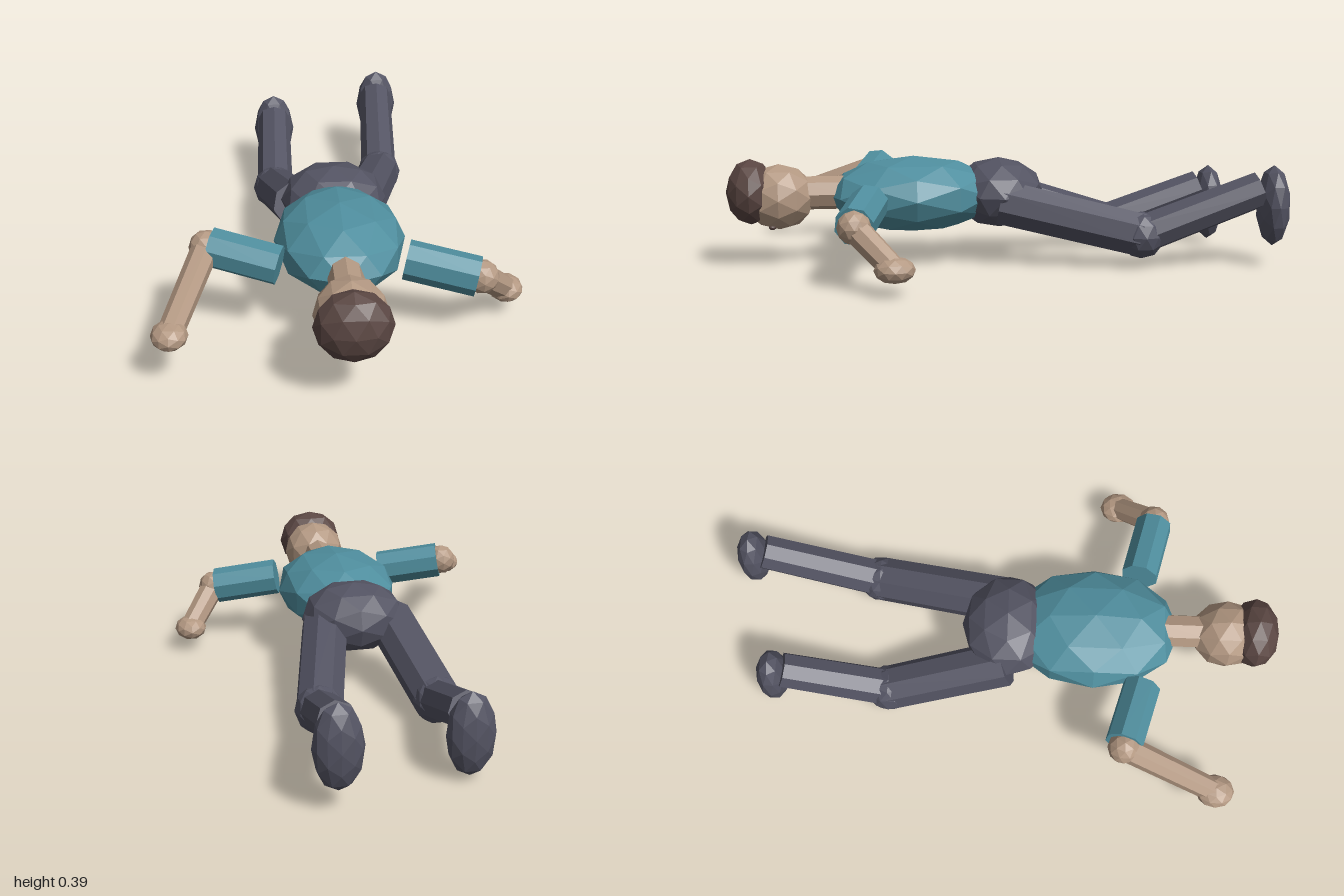
import * as THREE from 'three';

const mat = (name, color) => {
  const m = new THREE.MeshStandardMaterial({ color, flatShading: true });
  m.name = name;
  return m;
};

export function createModel() {
  const figure = new THREE.Group();
  figure.name = 'lyingFigure';
  const shirt = mat('teal shirt', 0x4f8e9e);
  const skin = mat('skin', 0xb39882);
  const trousers = mat('grey trousers', 0x535362);
  const hair = mat('brown hair', 0x5a4642);

  const add = (name, geo, material) => {
    const mesh = new THREE.Mesh(geo, material);
    mesh.name = name;
    figure.add(mesh);
    return mesh;
  };
  // faceted ellipsoid
  const blob = (name, material, pos, radii, tilt = 0) => {
    const geo = new THREE.IcosahedronGeometry(1, 1).rotateX(tilt).scale(...radii);
    add(name, geo, material).position.set(...pos);
  };
  // eight-sided limb between two points
  const limb = (name, material, from, to, rFrom, rTo = rFrom) => {
    const a = new THREE.Vector3(...from);
    const b = new THREE.Vector3(...to);
    const dir = b.clone().sub(a);
    const mesh = add(name, new THREE.CylinderGeometry(rTo, rFrom, dir.length(), 8), material);
    mesh.position.copy(a).add(b).multiplyScalar(0.5);
    mesh.quaternion.setFromUnitVectors(new THREE.Vector3(0, 1, 0), dir.normalize());
  };

  // body, lying face down with the head towards the front
  blob('torso', shirt, [0, 0.2575, 0.33], [0.225, 0.1375, 0.31], Math.PI / 2);
  blob('hips', trousers, [0, 0.257, 0.02], [0.19, 0.128, 0.165]);
  limb('neck', skin, [0, 0.267, 0.56], [0, 0.267, 0.74], 0.06);

  // head
  blob('head', skin, [0, 0.255, 0.81], [0.12, 0.118, 0.128], Math.PI / 2);
  blob('hair', hair, [0, 0.275, 0.91], [0.126, 0.118, 0.087], Math.PI / 2);
  for (const s of [-1, 1]) {
    blob('eye', hair, [s * 0.043, 0.152, 0.835], [0.013, 0.01, 0.013]);
  }

  // arms
  const arms = [
    { side: 'right', shoulder: [-0.212, 0.26, 0.505], elbow: [-0.437, 0.302, 0.44], hand: [-0.563, 0.177, 0.772] },
    { side: 'left', shoulder: [0.21, 0.26, 0.495], elbow: [0.442, 0.219, 0.553], hand: [0.563, 0.098, 0.428] },
  ];
  for (const { side, shoulder, elbow, hand } of arms) {
    limb(side + 'Sleeve', shirt, shoulder, elbow, 0.068);
    const joint = [elbow[0] + Math.sign(elbow[0]) * 0.013, elbow[1], elbow[2]];
    blob(side + 'Elbow', skin, joint, [0.058, 0.058, 0.058]);
    limb(side + 'Forearm', skin, joint, hand, 0.047, 0.042);
    blob(side + 'Hand', skin, hand, [0.06, 0.044, 0.068]);
  }

  // legs, toes pointing down
  const legs = [
    { side: 'right', hip: [-0.135, 0.235, 0.02], knee: [-0.202, 0.095, -0.41], ankle: [-0.193, 0.23, -0.79], foot: [-0.193, 0.17, -0.83] },
    { side: 'left', hip: [0.105, 0.235, 0.02], knee: [0.218, 0.125, -0.465], ankle: [0.243, 0.285, -0.89], foot: [0.25, 0.226, -0.937] },
  ];
  for (const { side, hip, knee, ankle, foot } of legs) {
    limb(side + 'Thigh', trousers, hip, knee, 0.085, 0.082);
    blob(side + 'Knee', trousers, knee, [0.085, 0.085, 0.085]);
    limb(side + 'Shin', trousers, knee, ankle, 0.07, 0.065);
    blob(side + 'Foot', trousers, foot, [0.082, 0.145, 0.058]);
  }
  return figure;
}
